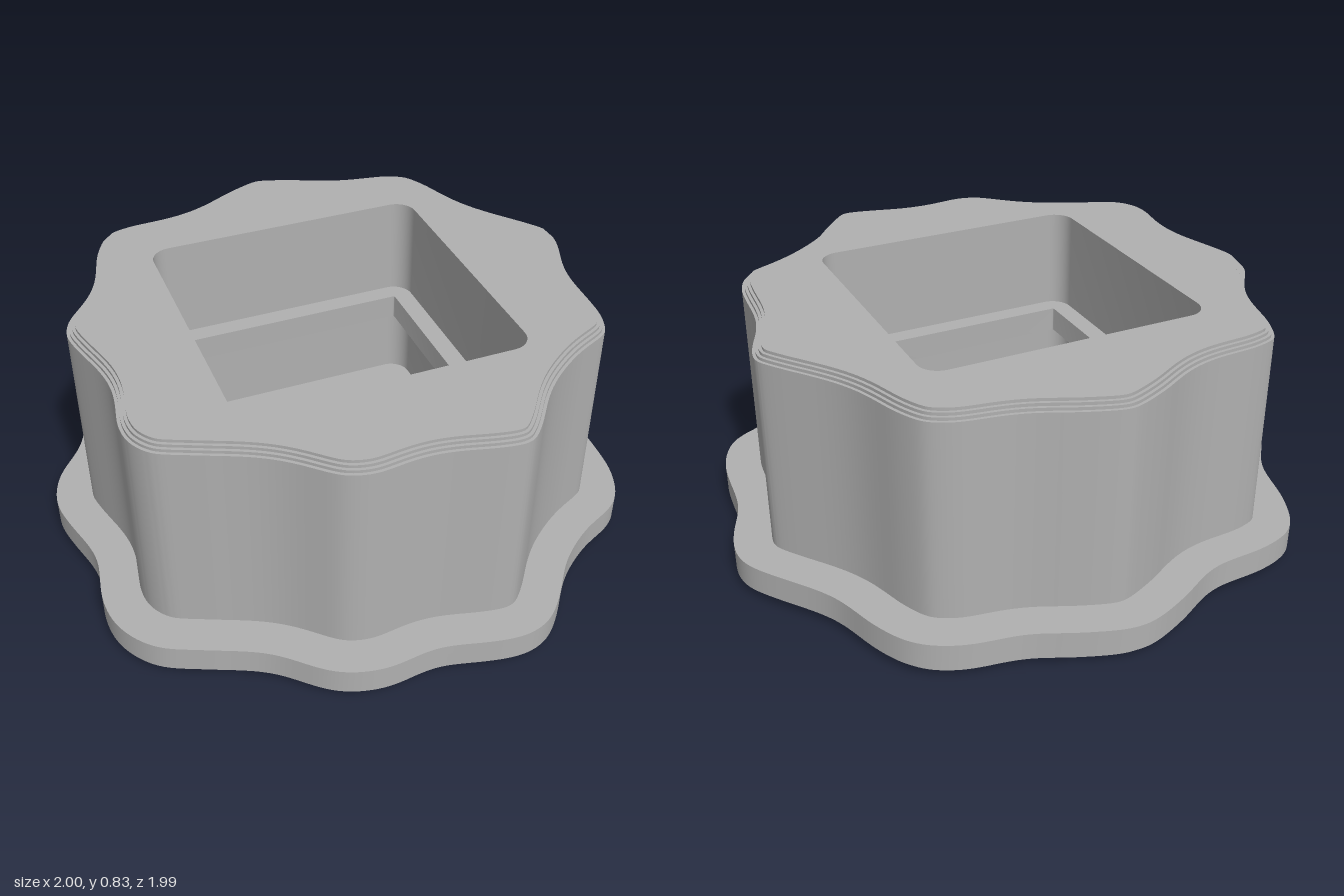
import * as THREE from 'three';
import { toCreasedNormals } from 'three/addons/utils/BufferGeometryUtils.js';

// Plan coordinates are (x, -z), so that counter-clockwise loops face outward.
const RIM = [
  [0, 1], [0.18, 0.95], [0.33, 0.885], [0.53, 0.845], [0.65, 0.775], [0.72, 0.66],
  [0.79, 0.47], [0.94, 0.265], [0.99, 0.185], [1, 0.1], [0.975, 0], [0.92, -0.14], [0.905, -0.32],
  [0.89, -0.43], [0.82, -0.57], [0.65, -0.66], [0.52, -0.76], [0.41, -0.9], [0.33, -0.975],
  [0.24, -1], [0.13, -0.985], [-0.04, -0.945], [-0.22, -0.96], [-0.36, -0.92], [-0.53, -0.775],
  [-0.72, -0.685], [-0.85, -0.62], [-0.935, -0.5], [-0.955, -0.37], [-0.93, -0.18], [-0.98, 0.02],
  [-1, 0.13], [-0.965, 0.265], [-0.85, 0.425], [-0.785, 0.64], [-0.7, 0.785], [-0.57, 0.835],
  [-0.35, 0.855], [-0.17, 0.945],
];

function rimLoop() {
  const curve = new THREE.CatmullRomCurve3(
    RIM.map(([x, y]) => new THREE.Vector3(x, y, 0)).reverse(), true, 'centripetal');
  let pts = curve.getSpacedPoints(360).slice(0, -1).map((p) => new THREE.Vector2(p.x, p.y));
  for (let k = 0; k < 8; k++) {
    pts = pts.map((p, i) => p.clone().multiplyScalar(2)
      .add(pts[(i + 1) % 360]).add(pts[(i + 359) % 360]).multiplyScalar(0.25));
  }
  return pts;
}

// Parallel inward offset, dropping points that would fold over
function inset(loop, d) {
  const n = loop.length;
  if (d === 0) return loop;
  return loop.map((p, i) => {
    const t = loop[(i + 1) % n].clone().sub(loop[(i + n - 1) % n]).normalize();
    return new THREE.Vector2(p.x - t.y * d, p.y + t.x * d);
  }).filter((q) => loop.every((p) => p.distanceTo(q) > d - 0.002));
}

function roundedSquare(cx, half, r) {
  const pts = [];
  for (let c = 0; c < 4; c++) {
    const mid = Math.PI / 4 + c * Math.PI / 2;
    const x = cx + Math.sign(Math.cos(mid)) * (half - r);
    const y = Math.sign(Math.sin(mid)) * (half - r);
    for (let i = 0; i <= 8; i++) {
      const a = c * Math.PI / 2 + i * Math.PI / 16;
      pts.push(new THREE.Vector2(x + r * Math.cos(a), y + r * Math.sin(a)));
    }
  }
  return pts;
}

// Vertical wall along a loop
function wall(loop, y0, y1, inward = false) {
  const pos = [], idx = [], n = loop.length;
  loop.forEach((p, i) => {
    pos.push(p.x, y0, -p.y, p.x, y1, -p.y);
    const a = 2 * i, b = 2 * ((i + 1) % n);
    if (inward) idx.push(a, b + 1, b, a, a + 1, b + 1);
    else idx.push(a, b, b + 1, a, b + 1, a + 1);
  });
  const g = new THREE.BufferGeometry();
  g.setAttribute('position', new THREE.Float32BufferAttribute(pos, 3));
  g.setIndex(idx);
  return toCreasedNormals(g, 0.6);
}

// Flat face between a loop and an optional hole
function face(loop, hole, y, up = true) {
  const shape = new THREE.Shape(loop);
  if (hole) shape.holes.push(new THREE.Path(hole));
  const g = new THREE.ShapeGeometry(shape);
  if (!up) {
    const ix = g.index.array;
    for (let i = 0; i < ix.length; i += 3) [ix[i], ix[i + 1]] = [ix[i + 1], ix[i]];
    g.computeVertexNormals();
  }
  return g.rotateX(-Math.PI / 2).translate(0, y, 0);
}

export function createModel() {
  const model = new THREE.Group();
  const gray = new THREE.MeshStandardMaterial({ color: 0xb0b0b0 });
  gray.name = 'gray';
  const add = (name, geometry) => {
    const mesh = new THREE.Mesh(geometry, gray);
    mesh.name = name;
    model.add(mesh);
  };

  const cx = -0.02;
  const rim = rimLoop();
  const pocket = roundedSquare(cx, 0.49, 0.07);
  const plateCut = roundedSquare(cx, 0.422, 0.008);
  const bore = Array.from({ length: 64 }, (_, i) => {
    const a = i * Math.PI / 32;
    return new THREE.Vector2(cx + 0.15 * Math.cos(a), 0.15 * Math.sin(a));
  });

  // Outer skin: stepped bottom edge, flange, body, stepped top edge
  const layers = [
    [0.03, 0, 0.01, 'bottomStep'], [0.02, 0.01, 0.02, 'bottomStep'], [0.01, 0.02, 0.03, 'bottomStep'],
    [0, 0.03, 0.12, 'flange'], [0.125, 0.12, 0.8, 'body'],
    [0.135, 0.8, 0.81, 'topStep'], [0.145, 0.81, 0.82, 'topStep'], [0.155, 0.82, 0.83, 'topStep'],
  ].map(([d, y0, y1, name]) => ({ d, y0, y1, name, loop: inset(rim, d) }));
  layers.forEach((l, i) => {
    add(l.name + 'Wall', wall(l.loop, l.y0, l.y1));
    const next = layers[i + 1];
    if (!next) return;
    if (next.d > l.d) add(l.name + 'Ledge', face(l.loop, next.loop, l.y1));
    else add(l.name + 'Underside', face(next.loop, l.loop, l.y1, false));
  });
  add('bottomFace', face(layers[0].loop, bore, 0, false));
  add('topFace', face(layers[layers.length - 1].loop, pocket, 0.83));

  // Square pocket with a thin mounting plate and a hollow beneath it
  add('pocketWall', wall(pocket, 0.47, 0.83, true));
  add('plateTop', face(pocket, plateCut, 0.47));
  add('plateCutWall', wall(plateCut, 0.38, 0.47, true));
  add('plateUnderside', face(pocket, plateCut, 0.38, false));
  add('hollowWall', wall(pocket, 0.1, 0.38, true));
  add('hollowFloor', face(pocket, bore, 0.1));
  add('boreWall', wall(bore, 0, 0.1, true));
  return model;
}
